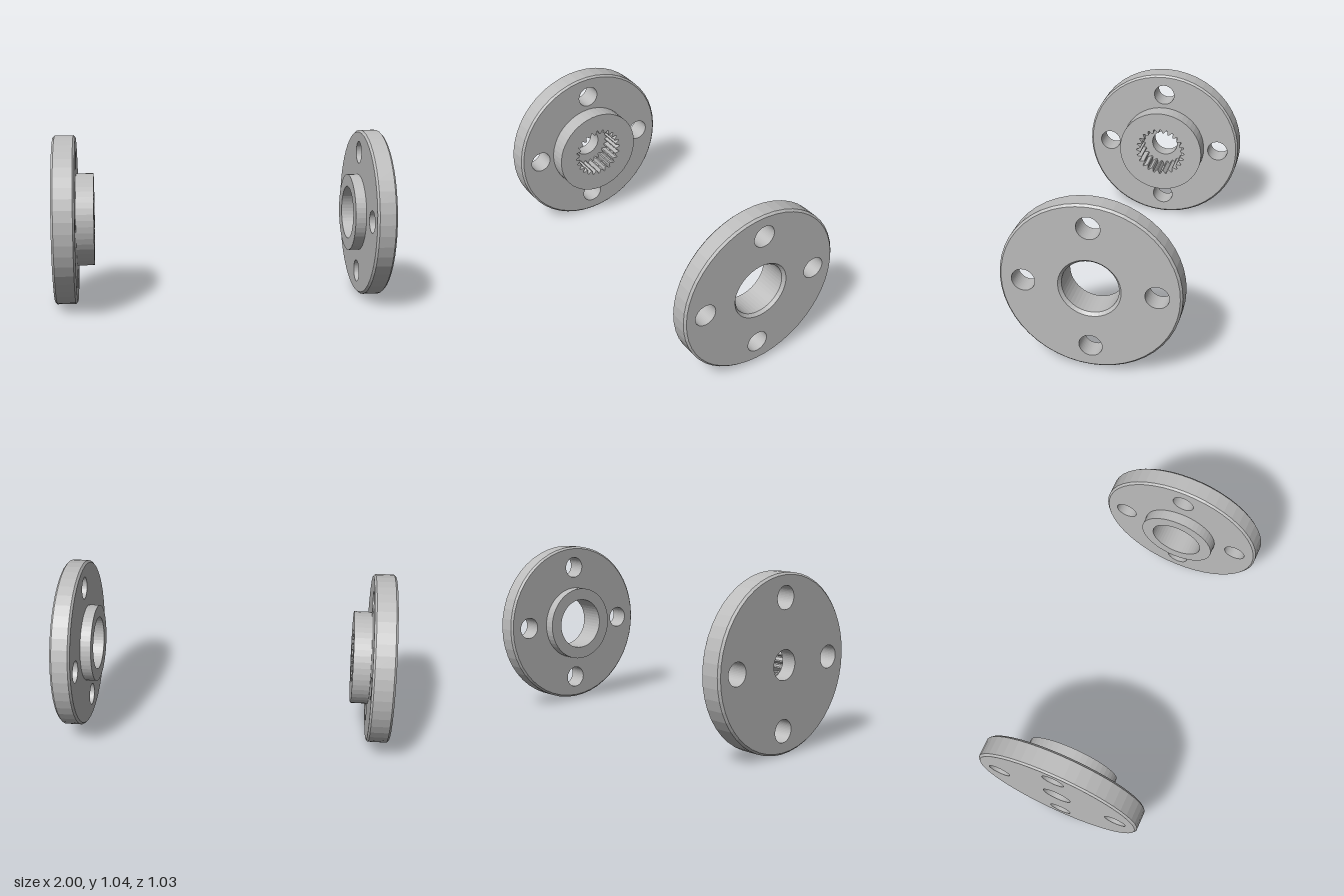
import * as THREE from 'three';

const SEG = 48;
const R = 0.513, BEVEL = 0.012, BOLT_CIRCLE = 0.375, BOLT_R = 0.067;

const circle = (r, x = 0, y = 0, Type = THREE.Path) => {
  const p = new Type();
  p.absarc(x, y, r, 0, Math.PI * 2, false);
  return p;
};

// Faceted surface of revolution about z; points are [radius, z]
function revolve(points) {
  const g = new THREE.LatheGeometry(points.map(([r, z]) => new THREE.Vector2(r, z)), SEG)
    .rotateX(Math.PI / 2).toNonIndexed();
  g.computeVertexNormals();
  return g;
}

const boltCentres = [0, 1, 2, 3].map(i => {
  const a = i * Math.PI / 2;
  return [Math.cos(a) * BOLT_CIRCLE, Math.sin(a) * BOLT_CIRCLE];
});

// Disc face with four bolt holes and a centre opening
function discFace(openingR) {
  const s = circle(R - BEVEL, 0, 0, THREE.Shape);
  s.holes.push(circle(openingR), ...boltCentres.map(([x, y]) => circle(BOLT_R, x, y)));
  return new THREE.ShapeGeometry(s, SEG / 2);
}

// Internal spline outline with inward teeth
function splinePath(rootR, tipR, teeth) {
  const pts = [], step = Math.PI * 2 / teeth;
  for (let i = 0; i < teeth; i++) {
    for (const [f, r] of [[0.08, rootR], [0.4, tipR], [0.6, tipR], [0.92, rootR]]) {
      const a = (i + f) * step;
      pts.push(new THREE.Vector2(Math.cos(a) * r, Math.sin(a) * r));
    }
  }
  return new THREE.Path(pts);
}

// Flange lying along +z, outer face at z = 0, hub pointing to +z
function makeFlange(name, material, { thick, hubR, hubEnd, hubStart, bore, backR, mouth }) {
  const group = new THREE.Group();
  group.name = name;
  const add = (part, geometry) => {
    const m = new THREE.Mesh(geometry, material);
    m.name = part;
    group.add(m);
    return m;
  };

  // Bevelled disc
  add('rim', revolve([[R - BEVEL, 0], [R, BEVEL], [R, thick - BEVEL], [R - BEVEL, thick]]));
  add('outerFace', discFace(backR).rotateY(Math.PI));
  add('innerFace', discFace(hubR).translate(0, 0, thick));

  // Bolt hole walls
  for (const [x, y] of boltCentres) {
    add('boltHole', revolve([[BOLT_R, thick], [BOLT_R, 0]])).position.set(x, y, 0);
  }

  // Hub sleeve with its bore
  const ring = circle(hubR, 0, 0, THREE.Shape);
  ring.holes.push(bore);
  add('hub', new THREE.ExtrudeGeometry(ring, {
    depth: hubEnd - hubStart, bevelEnabled: false, curveSegments: SEG / 2,
  }).translate(0, 0, hubStart));

  // Passage from the bore to the outer face
  add('boreMouth', revolve(mouth));
  return group;
}

export function createModel() {
  const model = new THREE.Group();
  model.name = 'flangePair';
  const steel = new THREE.MeshStandardMaterial({ color: 0xbcbcbc });
  steel.name = 'steelGrey';

  // Splined flange: toothed pocket over a small through hole
  const splined = makeFlange('splinedFlange', steel, {
    thick: 0.135, hubR: 0.281, hubEnd: 0.24, hubStart: 0.09,
    bore: splinePath(0.166, 0.14, 24), backR: 0.087,
    mouth: [[0.18, 0.09], [0.087, 0.09], [0.087, 0]],
  });
  splined.rotation.y = Math.PI / 2;
  splined.position.set(-1, 0.513, 0);

  // Plain flange: smooth bore chamfered at the outer face
  const plain = makeFlange('plainFlange', steel, {
    thick: 0.12, hubR: 0.237, hubEnd: 0.185, hubStart: 0.018,
    bore: circle(0.162), backR: 0.178,
    mouth: [[0.162, 0.018], [0.178, 0]],
  });
  plain.rotation.y = -Math.PI / 2;
  plain.position.set(1, 0.53, 0);

  model.add(splined, plain);
  return model;
}
